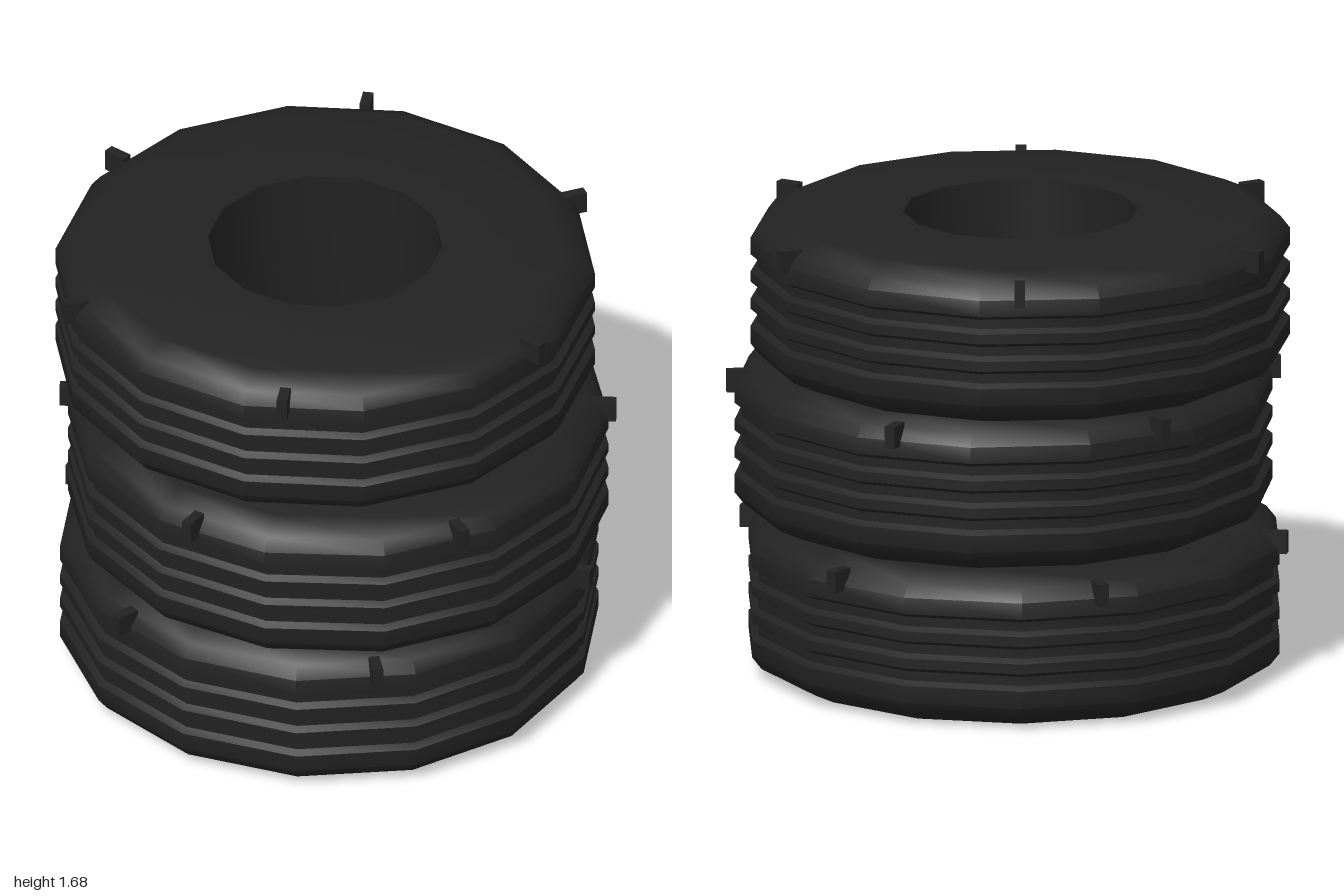
import * as THREE from 'three';
import { toCreasedNormals } from 'three/addons/utils/BufferGeometryUtils.js';

const SIDES = 14, LUGS = 6, HEIGHT = 0.557;
const R = 0.96, GROOVE_R = 0.935, HOLE_R = 0.417, SHOULDER_R = 0.84;

// Tyre cross-section: flat sidewalls, chamfered shoulders, three tread grooves
function tyreGeometry() {
  const pts = [[HOLE_R, HEIGHT], [HOLE_R, 0], [SHOULDER_R, 0], [0.925, 0.04], [R, 0.085]];
  for (const y of [0.18, 0.28, 0.38]) {
    pts.push([R, y - 0.032], [GROOVE_R, y - 0.017], [GROOVE_R, y + 0.017], [R, y + 0.032]);
  }
  pts.push([R, HEIGHT - 0.085], [0.925, HEIGHT - 0.04], [SHOULDER_R, HEIGHT], [HOLE_R, HEIGHT]);
  const profile = pts.map(([r, y]) => new THREE.Vector2(r, y));
  // start angle puts a corner on the +x axis
  const lathe = new THREE.LatheGeometry(profile, SIDES, Math.PI / 2, Math.PI * 2);
  return toCreasedNormals(lathe, 0.75);
}

export function createModel() {
  const model = new THREE.Group();
  model.name = 'tyreStack';
  const rubber = new THREE.MeshStandardMaterial({ color: 0x222222 });
  rubber.name = 'blackRubber';

  const tyreGeo = tyreGeometry();
  const lugGeo = new THREE.BoxGeometry(0.085, 0.08, 0.038);

  // Each tyre is slightly shifted and turned: x, z, turn in degrees
  const tyres = [
    ['bottomTyre', -0.007, 0.01, 0],
    ['middleTyre', 0.037, 0.04, 17],
    ['topTyre', -0.038, -0.032, 41],
  ];
  tyres.forEach(([name, x, z, turn], i) => {
    const tyre = new THREE.Group();
    tyre.name = name;
    tyre.position.set(x, i * 0.56, z);
    tyre.rotation.y = THREE.MathUtils.degToRad(turn);

    const body = new THREE.Mesh(tyreGeo, rubber);
    body.name = 'tyreBody';
    tyre.add(body);

    // Lugs around the upper shoulder
    for (let k = 0; k < LUGS; k++) {
      const a = (k / LUGS) * Math.PI * 2;
      const lug = new THREE.Mesh(lugGeo, rubber);
      lug.name = 'treadLug';
      lug.position.set(Math.cos(a) * 0.946, 0.495, -Math.sin(a) * 0.946);
      lug.rotation.y = a;
      tyre.add(lug);
    }
    model.add(tyre);
  });
  return model;
}
